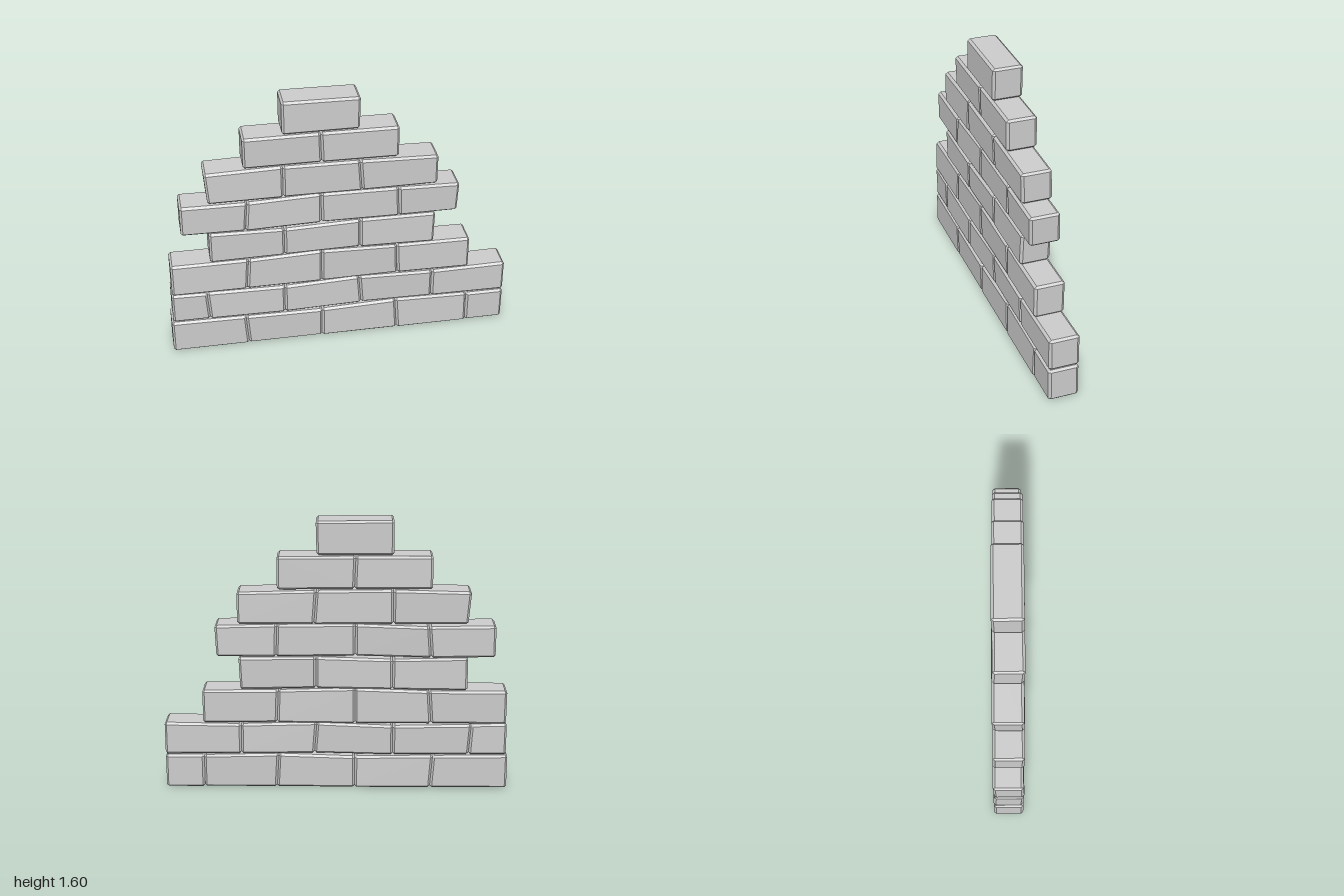
import * as THREE from 'three';
import { ConvexGeometry } from 'three/addons/geometries/ConvexGeometry.js';

const material = new THREE.MeshStandardMaterial({ color: 0xcccccc, flatShading: true });
const BEVEL = 0.012;

// Each course is a list of upright joints: [xBottom, xTop, yBottom, yTop]
const courses = [
  [[-1, -1, 0, 0.205], [-0.55, -0.565, 0, 0.2], [-0.11, -0.11, 0, 0.195], [0.345, 0.332, 0, 0.21], [0.77, 0.77, 0, 0.2], [0.995, 0.995, 0, 0.2]],
  [[-0.99, -0.99, 0.21, 0.4], [-0.772, -0.785, 0.21, 0.395], [-0.33, -0.33, 0.205, 0.387], [0.125, 0.11, 0.215, 0.405], [0.55, 0.55, 0.21, 0.393], [0.995, 0.995, 0.205, 0.4]],
  [[-0.985, -0.985, 0.4, 0.6], [-0.55, -0.535, 0.4, 0.6], [-0.11, -0.11, 0.4, 0.615], [0.34, 0.332, 0.405, 0.603], [0.77, 0.77, 0.4, 0.6]],
  [[-0.755, -0.755, 0.605, 0.8], [-0.325, -0.325, 0.61, 0.79], [0.115, 0.115, 0.615, 0.803], [0.55, 0.557, 0.605, 0.8]],
  [[-0.91, -0.91, 0.805, 0.99], [-0.545, -0.53, 0.8, 0.985], [-0.11, -0.11, 0.81, 1.0], [0.342, 0.335, 0.805, 0.995], [0.682, 0.69, 0.805, 0.987]],
  [[-0.75, -0.765, 1.0, 1.19], [-0.325, -0.325, 1.0, 1.2], [0.125, 0.11, 0.998, 1.195], [0.56, 0.56, 1.0, 1.183]],
  [[-0.545, -0.545, 1.205, 1.393], [-0.105, -0.112, 1.205, 1.393], [0.332, 0.332, 1.2, 1.39]],
  [[-0.325, -0.325, 1.4, 1.597], [0.108, 0.112, 1.4, 1.592]],
];

// A bevelled brick whose front outline is the skewed quad between two joints
function brickGeometry(left, right, tilt) {
  const width = right[0] - left[0];
  const height = left[3] - left[2];
  const point = (u, v, z) => {
    const mix = THREE.MathUtils.lerp;
    const x = mix(mix(left[0], left[1], v), mix(right[0], right[1], v), u);
    const y = mix(mix(left[2], left[3], v), mix(right[2], right[3], v), u);
    return new THREE.Vector3(x, y, z + tilt * (v - 0.5));
  };
  const bu = BEVEL / width, bv = BEVEL / height;
  const points = [];
  for (const u of [0, 1]) for (const v of [0, 1]) for (const s of [-1, 1]) {
    const ui = u ? 1 - bu : bu;
    const vi = v ? 1 - bv : bv;
    const z = s * 0.088, zi = s * (0.088 - BEVEL * 1.2);
    points.push(point(u, vi, zi), point(ui, v, zi), point(ui, vi, z));
  }
  return new ConvexGeometry(points);
}

export function createModel() {
  const wall = new THREE.Group();
  wall.name = 'brickWall';
  courses.forEach((joints, row) => {
    const course = new THREE.Group();
    course.name = `course${row + 1}`;
    for (let i = 0; i < joints.length - 1; i++) {
      // a slight lean makes the bricks look hand laid
      const tilt = 0.006 * Math.sin(row * 2.3 + i * 1.7);
      const brick = new THREE.Mesh(brickGeometry(joints[i], joints[i + 1], tilt), material);
      brick.name = `brick${i + 1}`;
      course.add(brick);
    }
    wall.add(course);
  });
  return wall;
}
